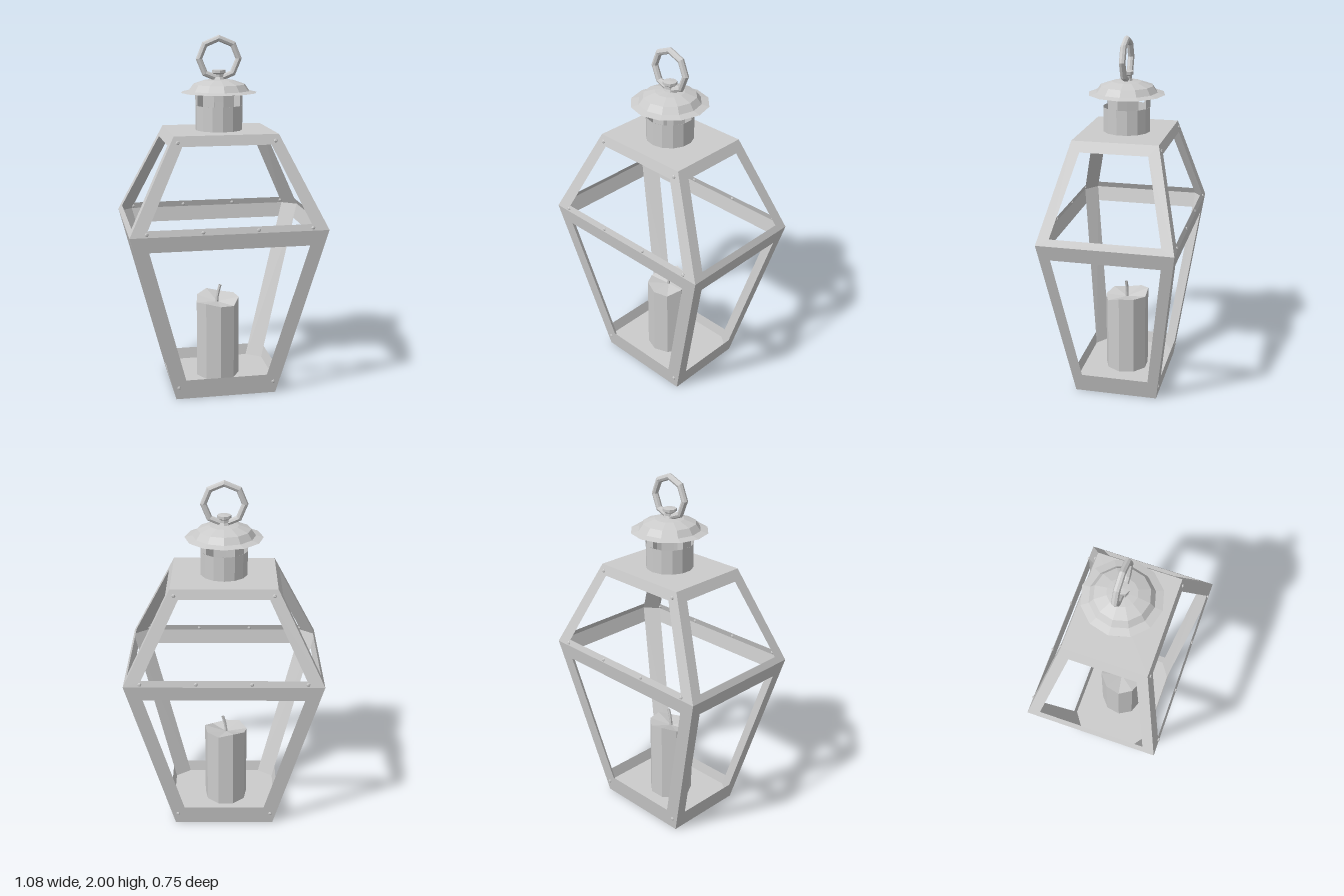
import * as THREE from 'three';

const mat = new THREE.MeshStandardMaterial({ color: 0xcccccc, flatShading: true, side: THREE.DoubleSide });

function add(parent, name, geometry, x = 0, y = 0, z = 0) {
  const mesh = new THREE.Mesh(geometry, mat);
  mesh.name = name;
  mesh.position.set(x, y, z);
  parent.add(mesh);
  return mesh;
}

// Sheet made of four-cornered faces
function quads(list) {
  const pos = list.flatMap(([a, b, c, d]) => [a, b, c, a, c, d].flat());
  const g = new THREE.BufferGeometry();
  g.setAttribute('position', new THREE.Float32BufferAttribute(pos, 3));
  g.computeVertexNormals();
  return g;
}

const mix = (a, b, t) => a + (b - a) * t;

// Outer half sizes (x, z) and half widths between the posts (ix, iz) at each level
const base = { y: 0, x: 0.285, z: 0.235, ix: 0.2, iz: 0.175 };
const waist = { y: 0.975, x: 0.54, z: 0.37, ix: 0.46, iz: 0.308 };
const crown = { y: 1.485, x: 0.285, z: 0.235, ix: 0.215, iz: 0.17 };

function levelAt(a, b, y) {
  const t = (y - a.y) / (b.y - a.y);
  const l = { y };
  for (const k of ['x', 'z', 'ix', 'iz']) l[k] = mix(a[k], b[k], t);
  return l;
}

// One storey: four trapezoid panels with openings, and the inner faces of the posts
function storey(group, name, a, b, y0, y1) {
  const lo = levelAt(a, b, y0), hi = levelAt(a, b, y1);
  for (const s of [1, -1]) {
    const front = (l, w) => [s * w, l.y, s * l.z];
    const side = (l, w) => [s * l.x, l.y, -s * w];
    for (const [label, p, o, i] of [[s > 0 ? 'Front' : 'Back', front, 'x', 'ix'], [s > 0 ? 'Left' : 'Right', side, 'z', 'iz']]) {
      const outer = [p(a, -a[o]), p(a, a[o]), p(b, b[o]), p(b, -b[o])];
      const inner = [p(lo, -lo[i]), p(lo, lo[i]), p(hi, hi[i]), p(hi, -hi[i])];
      add(group, name + label + 'Panel', quads(outer.map((c, k) => {
        const n = (k + 1) % 4;
        return [c, outer[n], inner[n], inner[k]];
      })));
    }
    for (const q of [1, -1]) {
      const f = (l) => [s * l.ix, l.y, q * l.z];
      const e = (l) => [s * l.x, l.y, q * l.iz];
      add(group, name + 'PostInside', quads([[f(a), e(a), e(b), f(b)]]));
    }
  }
}

function plate(l) {
  return quads([[[-l.x, l.y, l.z], [l.x, l.y, l.z], [l.x, l.y, -l.z], [-l.x, l.y, -l.z]]]);
}

export function createModel() {
  const model = new THREE.Group();
  model.name = 'lantern';

  // Frame
  const frame = new THREE.Group();
  frame.name = 'frame';
  model.add(frame);
  storey(frame, 'lower', base, waist, 0.115, 0.89);
  storey(frame, 'upper', waist, crown, 1.01, 1.43);
  add(frame, 'bottomPlate', plate(base));
  add(frame, 'floor', plate(levelAt(base, waist, 0.05)));
  add(frame, 'topPlate', plate(crown));

  // Rivets on front and back
  const rivetRows = [
    [0.07, [-0.27, 0.27], base, waist],
    [0.99, [-0.45, -0.15, 0.15, 0.45], waist, crown],
    [1.45, [-0.265, 0.265], waist, crown],
  ];
  const rivetGeometry = new THREE.SphereGeometry(0.011, 6, 4);
  for (const [y, xs, a, b] of rivetRows)
    for (const x of xs)
      for (const s of [1, -1])
        add(frame, 'rivet', rivetGeometry, x, y, s * levelAt(a, b, y).z).scale.z = 0.7;

  // Chimney with seven vent openings
  const chimney = new THREE.Group();
  chimney.name = 'chimney';
  model.add(chimney);
  add(chimney, 'chimneyWall', new THREE.CylinderGeometry(0.13, 0.13, 0.135, 14, 1, true), 0, 1.5525, 0);
  add(chimney, 'chimneyCollar', new THREE.CylinderGeometry(0.13, 0.13, 0.03, 14, 1, true), 0, 1.695, 0);
  const pitch = Math.PI * 2 / 7, gap = 0.4;
  for (let i = 0; i < 7; i++)
    add(chimney, 'ventPillar',
      new THREE.CylinderGeometry(0.13, 0.13, 0.06, 1, 1, true, -0.19 + gap / 2 + i * pitch, pitch - gap), 0, 1.65, 0);

  // Flared cap
  const capProfile = [[0.212, 1.69], [0.17, 1.7], [0.145, 1.735], [0.08, 1.757], [0, 1.765]];
  add(chimney, 'cap', new THREE.LatheGeometry(capProfile.map(([r, y]) => new THREE.Vector2(r, y)), 12));

  // Knob and carrying ring
  const knobProfile = [[0.036, 1.755], [0.028, 1.775], [0.028, 1.79], [0.038, 1.797], [0.038, 1.812], [0, 1.815]];
  add(model, 'knob', new THREE.LatheGeometry(knobProfile.map(([r, y]) => new THREE.Vector2(r, y)), 8));
  add(model, 'ring', new THREE.TorusGeometry(0.11, 0.018, 8, 8), 0, 1.873, 0);

  // Candle with an uneven melted rim
  const candle = new THREE.Group();
  candle.name = 'candle';
  model.add(candle);
  const wax = new THREE.CylinderGeometry(0.125, 0.125, 0.46, 9, 1);
  const p = wax.attributes.position;
  for (let i = 0; i < p.count; i++) {
    const x = p.getX(i), z = p.getZ(i);
    if (p.getY(i) < 0) p.setY(i, 0.05);
    else if (Math.hypot(x, z) < 0.01) p.setY(i, 0.485);
    else p.setY(i, 0.505 - 0.13 * z + 0.012 * Math.cos(3 * Math.atan2(z, x)));
  }
  wax.computeVertexNormals();
  add(candle, 'wax', wax, -0.01, 0, 0);
  const wickPath = new THREE.CatmullRomCurve3([[-0.012, 0.48], [-0.007, 0.53], [0.008, 0.585]]
    .map(([x, y]) => new THREE.Vector3(x, y, 0)));
  add(candle, 'wick', new THREE.TubeGeometry(wickPath, 3, 0.009, 6));

  return model;
}
